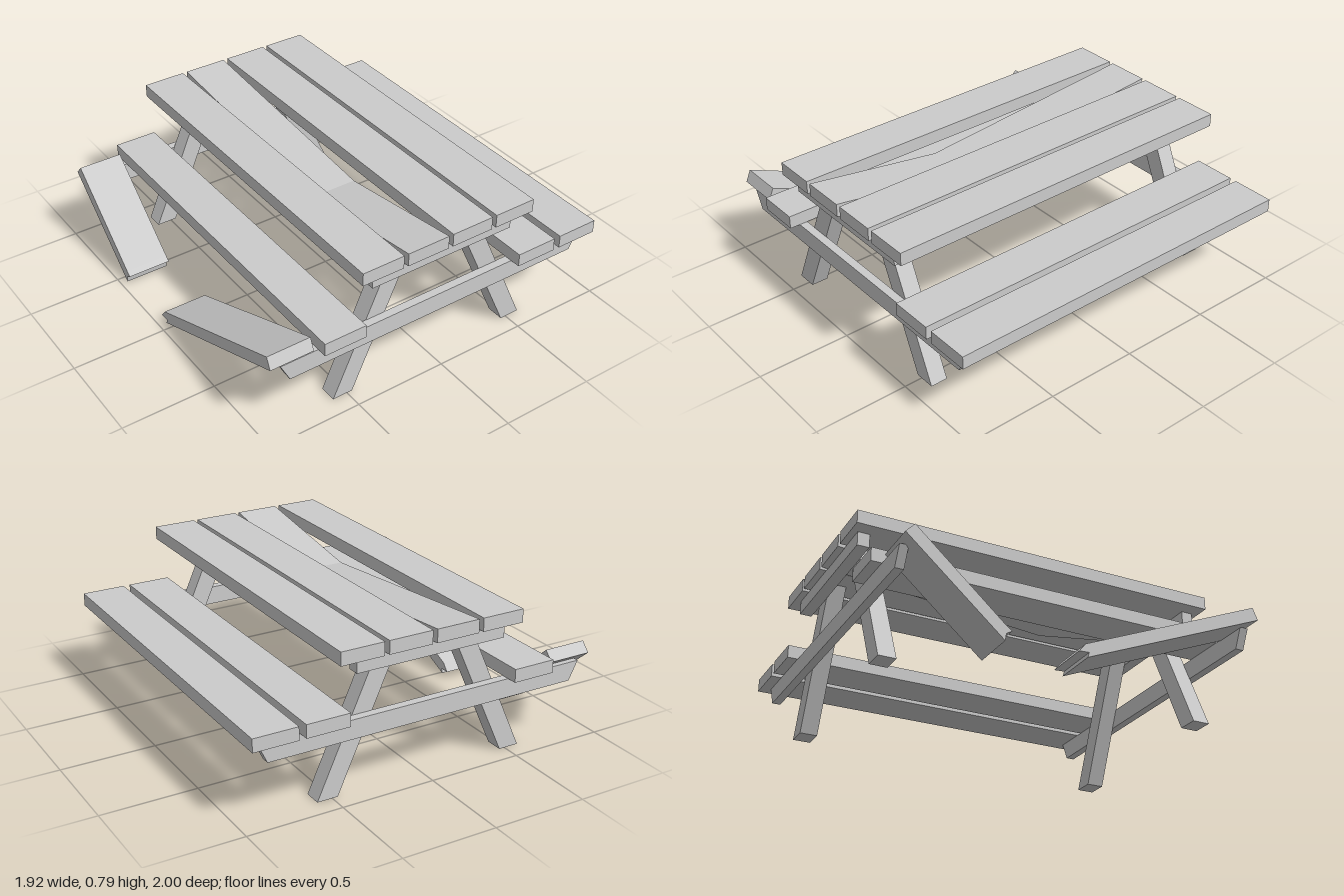
import * as THREE from 'three';

const material = new THREE.MeshStandardMaterial({ color: 0xcccccc, flatShading: true });

function add(group, name, geometry) {
  const mesh = new THREE.Mesh(geometry, material);
  mesh.name = name;
  group.add(mesh);
}

function extrude(points, depth) {
  const shape = new THREE.Shape(points.map(([a, b]) => new THREE.Vector2(a, b)));
  return new THREE.ExtrudeGeometry(shape, { depth, bevelEnabled: false });
}

// Outline in (x, y), running from z0 to z1
const alongZ = (points, z0, z1) => extrude(points, z1 - z0).translate(0, 0, z0);

// Outline in (z, y), running from x0 to x1
const alongX = (points, x0, x1) => extrude(points, x1 - x0).rotateY(-Math.PI / 2).translate(x1, 0, 0);

const rect = (a0, b0, a1, b1) => [[a0, b0], [a1, b0], [a1, b1], [a0, b1]];

export function createModel() {
  const table = new THREE.Group();
  table.name = 'brokenPicnicTable';

  // Straight table top planks
  for (const [x0, x1] of [[-0.49, -0.26], [0.025, 0.26], [0.285, 0.515]]) {
    add(table, 'topPlank', alongX(rect(-1, 0.715, 1, 0.785), x0, x1));
  }

  // Cracked table top plank, sagging off centre
  add(table, 'saggingPlank', alongX([
    [-1, 0.715], [0.25, 0.605], [1, 0.715], [1, 0.785], [0.25, 0.672], [-1, 0.785],
  ], -0.235, 0));

  // Whole bench planks
  for (const [x0, x1] of [[-0.695, -0.465], [0.46, 0.69], [0.727, 0.96]]) {
    add(table, 'benchPlank', alongX(rect(-1, 0.405, 1, 0.475), x0, x1));
  }

  // Two halves of the snapped bench plank, with splintered lower ends
  add(table, 'brokenPlankFront', alongX([
    [0.962, 0.427], [0.935, 0.49], [-0.04, 0.078], [-0.075, 0.035], [-0.022, 0.038], [-0.03, 0.012],
  ], -0.965, -0.73));
  add(table, 'brokenPlankBack', alongX([
    [-0.946, 0.432], [-0.453, 0.003], [-0.447, 0.04], [-0.418, 0.057], [-0.445, 0.078], [-0.9, 0.482],
  ], -0.965, -0.73));

  for (const end of [1, -1]) {
    const span = (a, b) => (end > 0 ? [a, b] : [-b, -a]);

    // Slanted legs
    for (const side of [1, -1]) {
      const leg = [[0.47, 0], [0.58, 0], [0.257, 0.715], [0.147, 0.715]];
      add(table, 'leg', alongZ(leg.map(([x, y]) => [x * side, y]), ...span(0.81, 0.902)));
    }

    // Beam under the table top
    add(table, 'topBeam', alongZ(rect(-0.41, 0.642, 0.41, 0.715), ...span(0.902, 0.965)));

    // Beam under the benches, with sloping ends
    add(table, 'benchBeam', alongZ(
      [[-0.85, 0.305], [0.858, 0.305], [0.905, 0.405], [-0.9, 0.405]], ...span(0.9, 0.945)));
  }
  return table;
}
